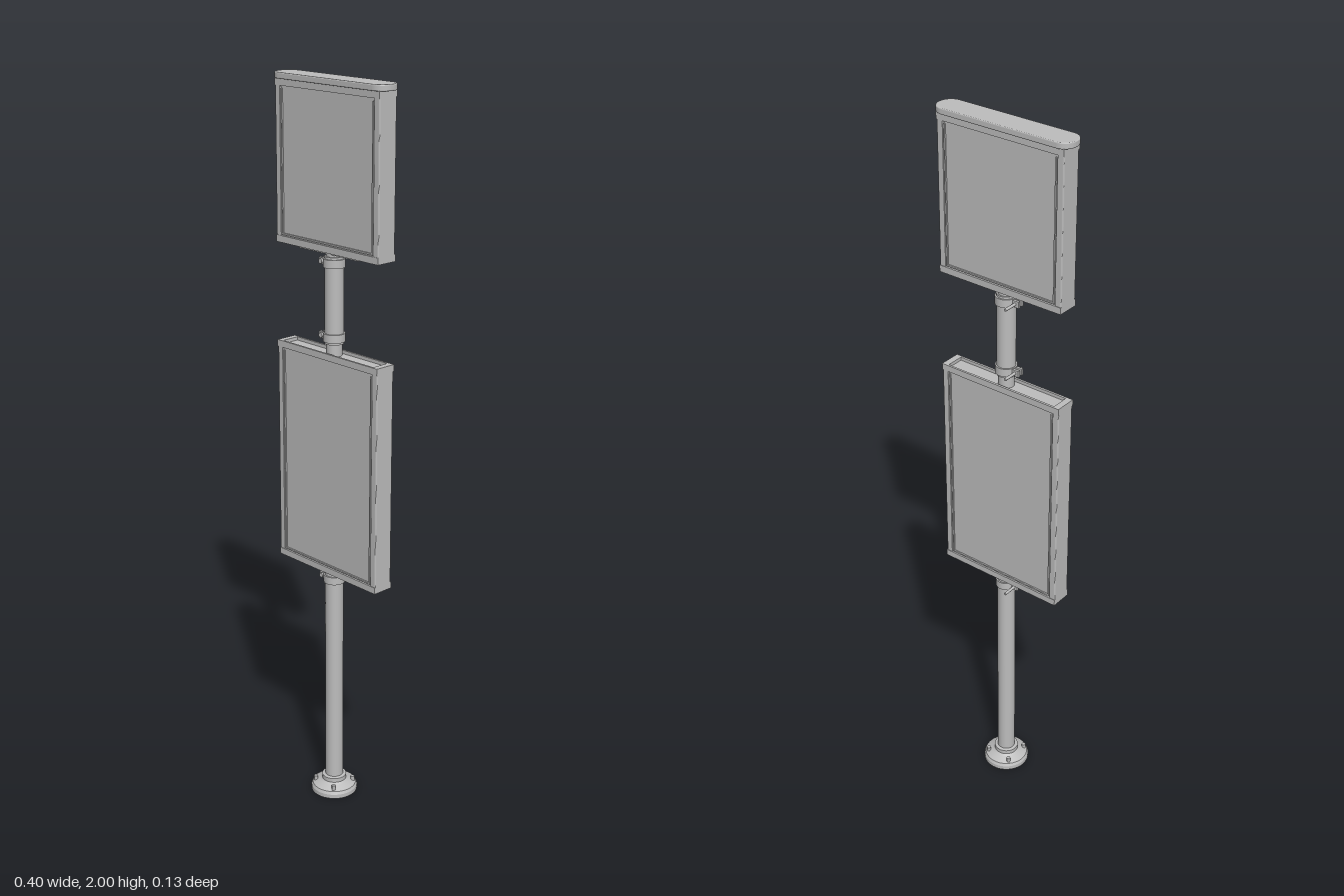
import * as THREE from 'three';

export function createModel() {
  const model = new THREE.Group();
  model.name = 'signPost';
  const grey = new THREE.MeshStandardMaterial({ color: 0xbdbdbd });
  grey.name = 'painted grey metal';

  function add(parent, name, geometry, x = 0, y = 0, z = 0) {
    const mesh = new THREE.Mesh(geometry, grey);
    mesh.name = name;
    mesh.position.set(x, y, z);
    parent.add(mesh);
    return mesh;
  }
  const box = (w, h, d) => new THREE.BoxGeometry(w, h, d);
  const rod = (r, h, n = 32) => new THREE.CylinderGeometry(r, r, h, n);

  // Foot flange, turned from separate bands so its edges stay crisp
  const foot = new THREE.Group();
  foot.name = 'footFlange';
  model.add(foot);
  const profile = [[0, 0], [0.065, 0], [0.065, 0.012], [0.061, 0.02], [0.04, 0.03], [0.034, 0.034],
    [0.034, 0.046], [0.025, 0.048]];
  for (let i = 0; i < profile.length - 1; i++) {
    const band = profile.slice(i, i + 2).map(([r, y]) => new THREE.Vector2(r, y));
    add(foot, 'footBand', new THREE.LatheGeometry(band, 48));
  }
  for (const sx of [-1, 1]) for (const sz of [-1, 1]) {
    add(foot, 'footBolt', rod(0.006, 0.018, 6), sx * 0.037, 0.027, sz * 0.037);
  }

  // Pole sections
  add(model, 'lowerPole', rod(0.025, 0.65), 0, 0.357, 0);
  add(model, 'upperPole', rod(0.025, 0.23), 0, 1.44, 0);
  add(model, 'poleNeck', rod(0.021, 0.06), 0, 1.32, 0);

  // Clamp collar with a lug and a bolt pointing backwards
  function clamp(y) {
    const g = new THREE.Group();
    g.name = 'clamp';
    g.position.y = y;
    model.add(g);
    add(g, 'clampCollar', rod(0.029, 0.022));
    for (const z of [-0.007, 0.007]) add(g, 'clampLug', box(0.024, 0.018, 0.007), -0.034, 0, z);
    add(g, 'clampBolt', rod(0.004, 0.062, 10), -0.035, 0, -0.019).rotation.x = Math.PI / 2;
    add(g, 'boltHead', rod(0.007, 0.006, 6), -0.035, 0, 0.014).rotation.x = Math.PI / 2;
  }
  [0.66, 1.342, 1.538].forEach(clamp);

  // Double-sided display case: rounded frame, recessed faces, channelled ends
  function displayCase(name, bottom, top) {
    const g = new THREE.Group();
    g.name = name;
    model.add(g);
    const h = top - bottom, mid = (top + bottom) / 2;

    // Side posts with softened outer corners
    const section = new THREE.Shape();
    section.moveTo(0.17, -0.029);
    section.lineTo(0.184, -0.029);
    section.quadraticCurveTo(0.188, -0.029, 0.188, -0.025);
    section.lineTo(0.188, 0.025);
    section.quadraticCurveTo(0.188, 0.029, 0.184, 0.029);
    section.lineTo(0.17, 0.029);
    section.closePath();
    for (const turn of [0, Math.PI]) {
      const post = new THREE.ExtrudeGeometry(section, { depth: h, bevelEnabled: false, curveSegments: 5 });
      post.rotateX(-Math.PI / 2).rotateY(turn);
      add(g, 'sidePost', post, 0, bottom, 0);
    }

    // End rails with lips either side of a shallow channel
    for (const s of [-1, 1]) {
      const edge = s < 0 ? bottom : top;
      add(g, 'endRail', box(0.342, 0.012, 0.05), 0, edge - s * 0.015, 0);
      for (const z of [-1, 1]) {
        add(g, 'railLip', box(0.376, 0.018, 0.006), 0, edge - s * 0.009, z * 0.0275);
        add(g, 'facePanel', box(0.336, h - 0.036, 0.004), 0, mid, z * 0.023);
      }
    }

    // Slim beads round each face
    for (const z of [-0.0265, 0.0265]) {
      for (const x of [-0.165, 0.165]) add(g, 'faceBead', box(0.004, h - 0.05, 0.005), x, mid, z);
      add(g, 'faceBead', box(0.334, 0.004, 0.005), 0, bottom + 0.023, z);
    }

    // Mounting plate under the case
    add(g, 'mountPlate', box(0.22, 0.008, 0.044), 0, bottom - 0.001, 0);
    add(g, 'mountSocket', rod(0.021, 0.03), 0, bottom - 0.008, 0);
  }
  displayCase('lowerCase', 0.682, 1.302);
  displayCase('upperCase', 1.567, 1.985);

  // Rounded roof cap
  const hx = 0.2, hz = 0.034, r = 0.032;
  const cap = new THREE.Shape();
  cap.moveTo(-hx + r, -hz);
  cap.lineTo(hx - r, -hz);
  cap.absarc(hx - r, -hz + r, r, -Math.PI / 2, 0, false);
  cap.absarc(hx - r, hz - r, r, 0, Math.PI / 2, false);
  cap.absarc(-hx + r, hz - r, r, Math.PI / 2, Math.PI, false);
  cap.absarc(-hx + r, -hz + r, r, Math.PI, Math.PI * 1.5, false);
  const capGeometry = new THREE.ExtrudeGeometry(cap, {
    depth: 0.01, bevelThickness: 0.003, bevelSize: 0.002, bevelSegments: 3, curveSegments: 12,
  });
  capGeometry.rotateX(-Math.PI / 2);
  add(model, 'roofCap', capGeometry, 0, 1.987, 0);

  return model;
}
